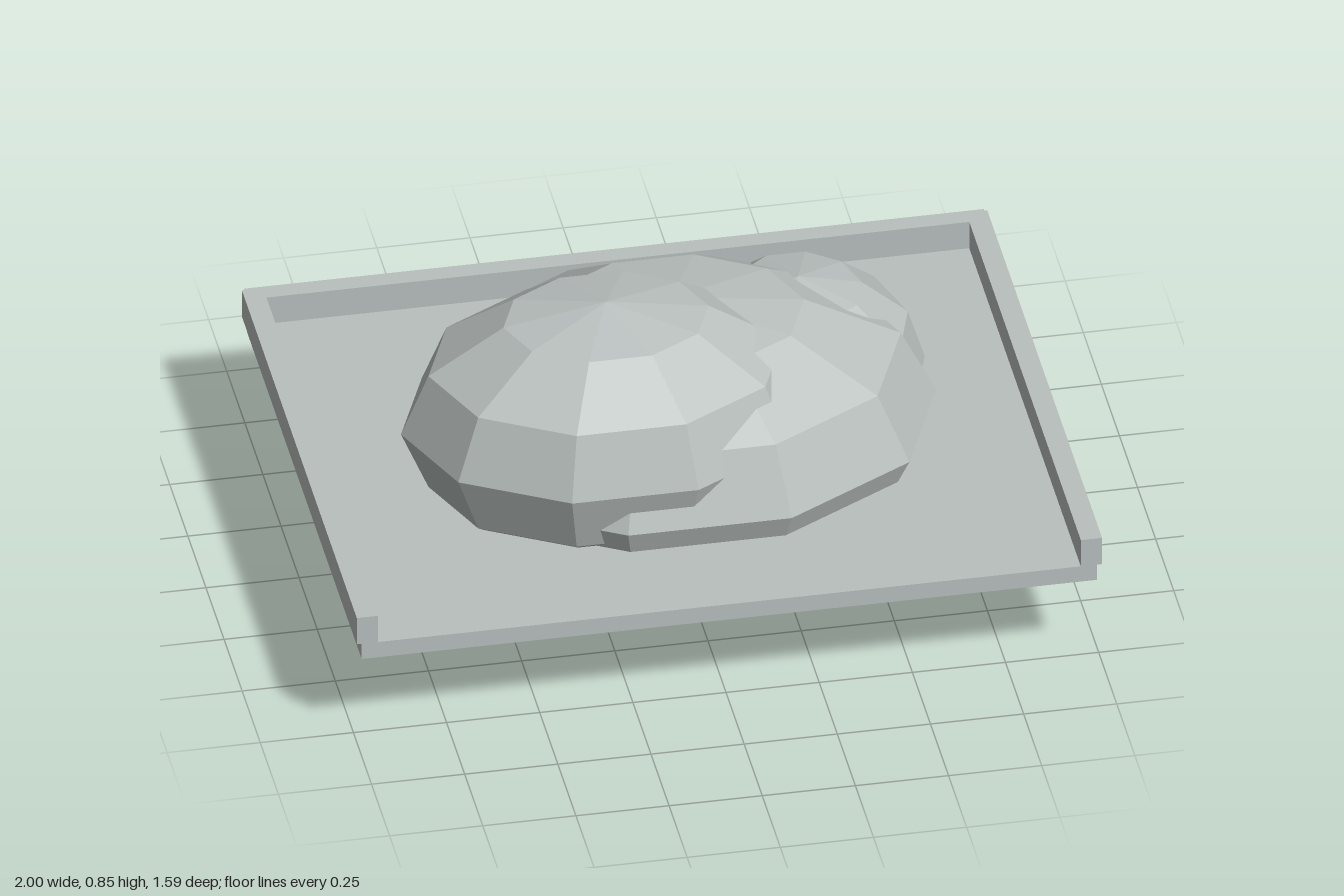
import * as THREE from 'three';

const stone = new THREE.MeshStandardMaterial({ color: 0xb9c0be, flatShading: true });
stone.name = 'pale grey';

// Box given by its lower and upper corners
function box(name, [x0, y0, z0], [x1, y1, z1]) {
  const geometry = new THREE.BoxGeometry(x1 - x0, y1 - y0, z1 - z0);
  const mesh = new THREE.Mesh(geometry, stone);
  mesh.position.set((x0 + x1) / 2, (y0 + y1) / 2, (z0 + z1) / 2);
  mesh.name = name;
  return mesh;
}

// Faceted ellipsoid boulder
function boulder(name, centre, radii) {
  const geometry = new THREE.SphereGeometry(1, 10, 6).scale(...radii);
  const mesh = new THREE.Mesh(geometry, stone);
  mesh.position.set(...centre);
  mesh.name = name;
  return mesh;
}

export function createModel() {
  const model = new THREE.Group();
  model.name = 'boulderOnTray';

  // Tray: floor plate with a low rim, open at the front
  const tray = new THREE.Group();
  tray.name = 'tray';
  tray.add(
    box('trayFloor', [-0.987, 0.262, -0.787], [0.987, 0.31, 0.797]),
    box('backRim', [-0.992, 0.31, -0.797], [0.992, 0.393, -0.744]),
    box('rightRim', [-1, 0.31, -0.79], [-0.943, 0.393, 0.797]),
    box('leftRim', [0.943, 0.31, -0.79], [1, 0.393, 0.797]),
  );

  // Three overlapping boulders, set through the floor
  const rock = new THREE.Group();
  rock.name = 'rock';
  rock.add(
    boulder('mainBoulder', [0, 0.38, 0], [0.71, 0.38, 0.557]),
    boulder('upperBoulder', [-0.2, 0.5, 0.12], [0.55, 0.35, 0.43]),
    boulder('sideBoulder', [0.37, 0.38, -0.16], [0.34, 0.296, 0.357]),
  );

  model.add(tray, rock);
  return model;
}
